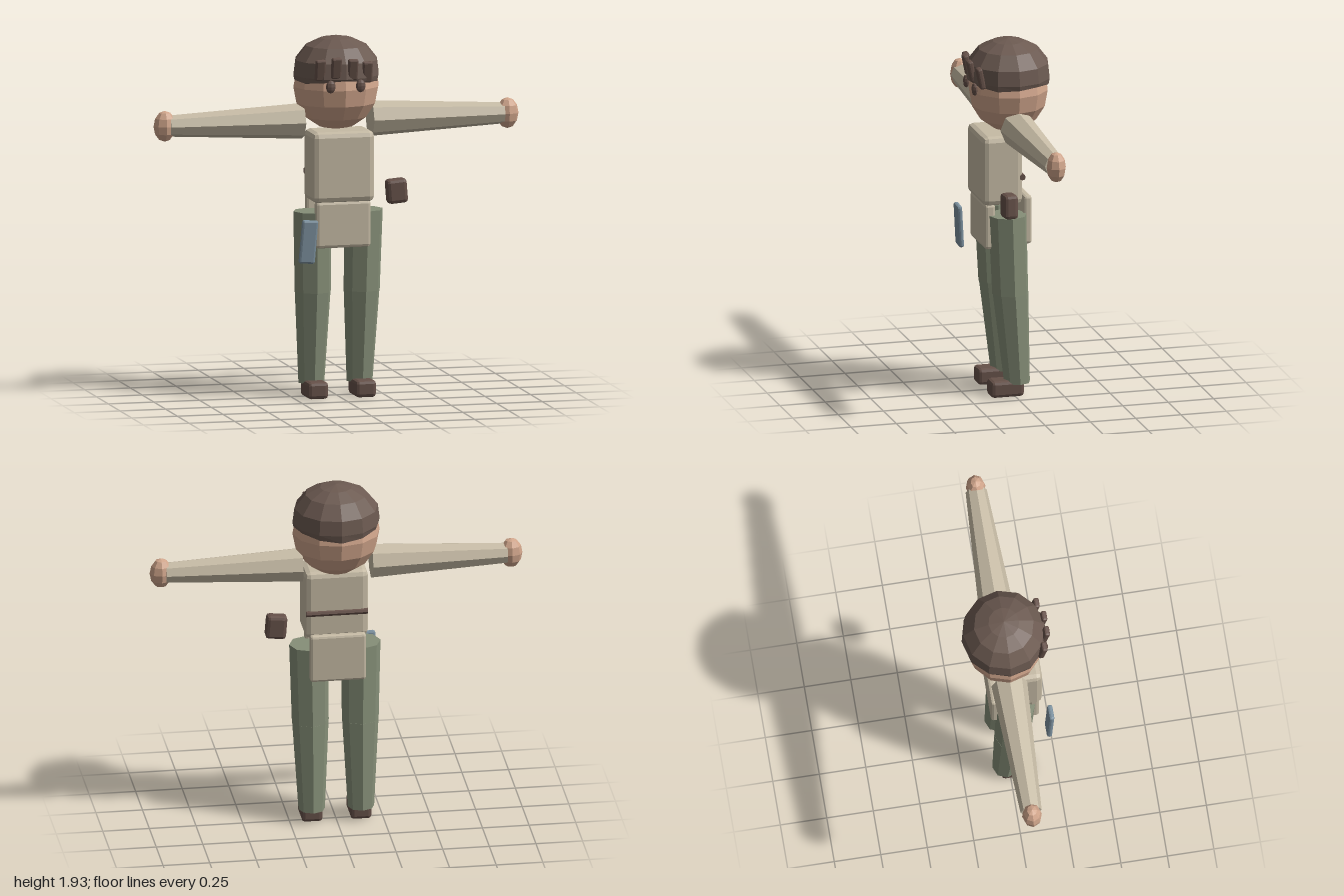
import * as THREE from 'three';
import { RoundedBoxGeometry } from 'three/addons/geometries/RoundedBoxGeometry.js';

function material(name, color) {
  const m = new THREE.MeshStandardMaterial({ color });
  m.name = name;
  return m;
}

// Faceted normals on any geometry
function facet(geometry) {
  const g = geometry.index ? geometry.toNonIndexed() : geometry;
  g.computeVertexNormals();
  return g;
}

// Eight-sided tapered limb with level ends; a and b are [x, y, z, radius], a on top
function limbGeometry(a, b) {
  const g = new THREE.CylinderGeometry(a[3], b[3], 1, 8, 1);
  const p = g.attributes.position;
  for (let i = 0; i < p.count; i++) {
    const t = 0.5 - p.getY(i);
    p.setXYZ(
      i,
      p.getX(i) + THREE.MathUtils.lerp(a[0], b[0], t),
      THREE.MathUtils.lerp(a[1], b[1], t),
      p.getZ(i) + THREE.MathUtils.lerp(a[2], b[2], t)
    );
  }
  return facet(g);
}

// Hair cap with a gently wavy hem
function hairGeometry() {
  const profile = [
    [0.19, 1.69], [0.228, 1.7], [0.234, 1.725], [0.224, 1.805],
    [0.165, 1.88], [0.085, 1.918], [0, 1.933],
  ].map(([r, y]) => new THREE.Vector2(r, y));
  const g = new THREE.LatheGeometry(profile, 12);
  const p = g.attributes.position;
  for (let i = 0; i < p.count; i++) {
    if (p.getY(i) < 1.71) {
      const angle = Math.atan2(p.getX(i), p.getZ(i));
      p.setY(i, p.getY(i) + 0.008 * Math.cos(angle) + 0.01 * Math.cos(3 * angle));
    }
    p.setZ(i, p.getZ(i) * 0.97 - 0.008);
  }
  return facet(g);
}

export function createModel() {
  const skin = material('skin', 0xd0a58b);
  const hairBrown = material('hair brown', 0x6c5a51);
  const darkBrown = material('dark brown', 0x665149);
  const cloth = material('beige cloth', 0xc6bba5);
  const green = material('trouser green', 0x868f78);
  const blue = material('slate blue', 0x7d92a0);

  const model = new THREE.Group();
  model.name = 'figure';

  function add(name, geometry, mat, position = [0, 0, 0], rotation = [0, 0, 0]) {
    const mesh = new THREE.Mesh(geometry, mat);
    mesh.name = name;
    mesh.position.set(...position);
    mesh.rotation.set(...rotation);
    model.add(mesh);
    return mesh;
  }
  const box = (w, h, d, bevel) => facet(new RoundedBoxGeometry(w, h, d, 1, bevel));
  const ball = (rx, ry, rz, w, h) =>
    facet(new THREE.SphereGeometry(1, w, h).scale(rx, ry, rz));

  // Head, hair and fringe
  add('head', ball(0.234, 0.235, 0.215, 12, 8), skin, [0, 1.662, -0.008]);
  add('hair', hairGeometry(), hairBrown);
  const fringe = [
    [-0.134, 1.775, 0.178], [-0.053, 1.787, 0.205],
    [0.037, 1.777, 0.205], [0.123, 1.757, 0.178],
  ];
  fringe.forEach((position, i) =>
    add('fringeLock' + (i + 1), box(0.055, 0.115, 0.03, 0.009), darkBrown, position, [0.2, 0, 0]));

  // Torso, tunic flaps and back strap
  add('torso', box(0.34, 0.38, 0.22, 0.03), cloth, [0, 1.246, 0.064]);
  add('frontFlap', box(0.3, 0.25, 0.058, 0.016), cloth, [0, 0.938, 0.131]);
  add('backFlap', box(0.3, 0.265, 0.045, 0.014), cloth, [0, 0.962, -0.077]);
  add('backStrap', facet(new THREE.CylinderGeometry(0.017, 0.017, 0.33, 8)), darkBrown,
    [0, 1.204, -0.042], [0, 0, Math.PI / 2]);

  // Mirrored eyes, arms, hands, legs and shoes
  for (const s of [1, -1]) {
    const side = s > 0 ? 'left' : 'right';
    add(side + 'Eye', ball(0.027, 0.035, 0.016, 8, 6), darkBrown, [s * 0.082, 1.687, 0.2]);

    // Arm is built upright, then laid out sideways
    const arm = limbGeometry([0, 0.915, 0, 0.057], [0, 0.187, 0, 0.096]);
    add(side + 'Arm', arm, cloth, [0, 1.478, -0.009], [0, 0, -s * Math.PI / 2]);
    add(side + 'Hand', ball(0.061, 0.083, 0.053, 8, 6), skin, [s * 0.939, 1.478, -0.008]);

    add(side + 'Thigh',
      limbGeometry([s * 0.14, 1.0, 0.035, 0.105], [s * 0.134, 0.565, 0.018, 0.099]), green);
    add(side + 'Shin',
      limbGeometry([s * 0.134, 0.565, 0.016, 0.098], [s * 0.132, 0.07, -0.02, 0.071]), green);
    add(side + 'Shoe', box(0.112, 0.09, 0.18, 0.018), darkBrown, [s * 0.131, 0.045, 0.043]);
  }

  // Carried items floating beside the hips
  add('pouch', box(0.11, 0.13, 0.075, 0.018), darkBrown, [0.31, 1.096, 0.073], [0, 0, 0.08]);
  add('bluePlate', box(0.088, 0.235, 0.028, 0.011), blue, [-0.206, 0.86, 0.205], [0.07, 0, -0.07]);

  return model;
}
